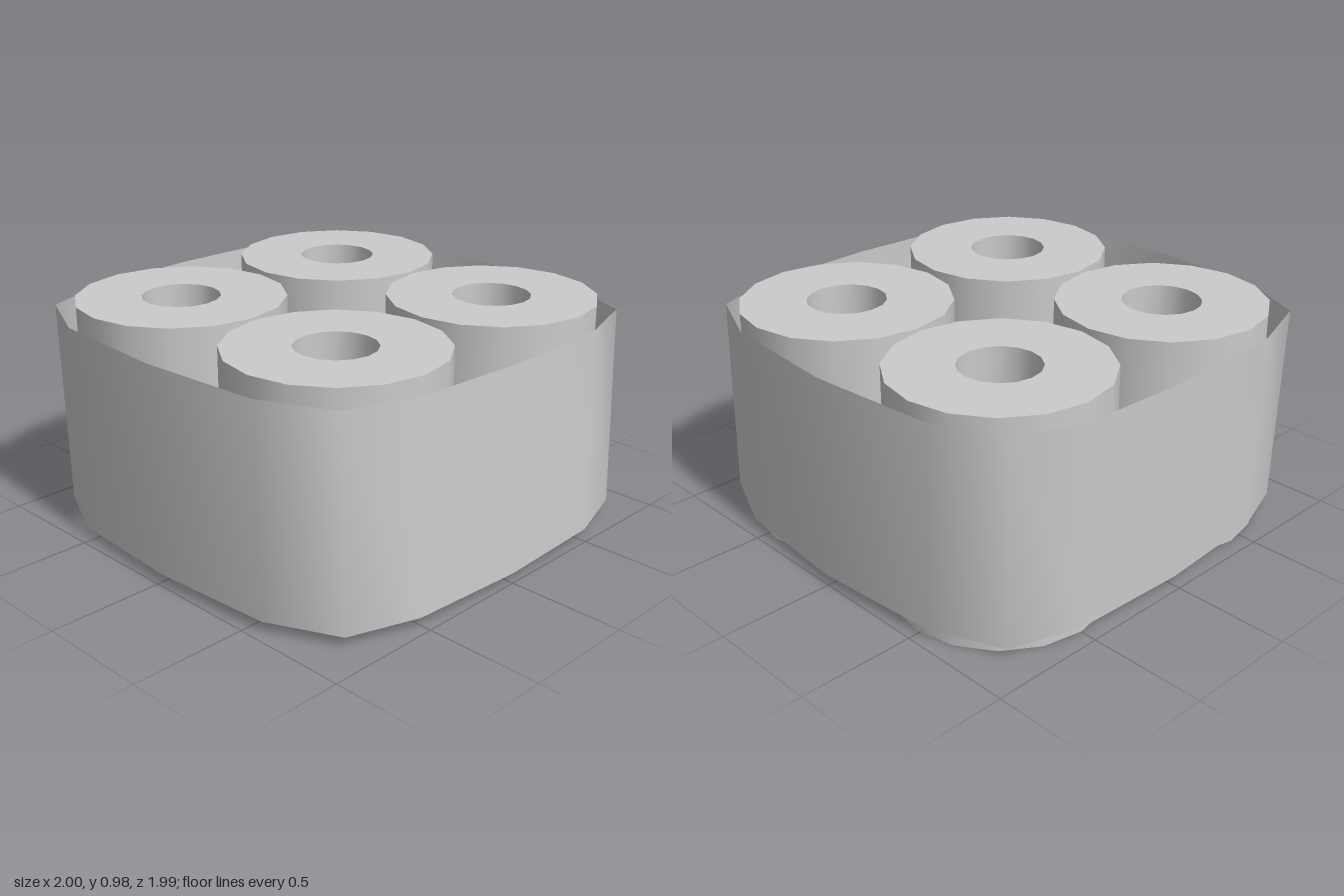
import * as THREE from 'three';

const material = new THREE.MeshStandardMaterial({ color: 0xcccccc });
const thinMaterial = new THREE.MeshStandardMaterial({ color: 0xcccccc, side: THREE.DoubleSide });

const SIDES = 16, R = 0.449, CORE = 0.168, H = 0.975;

// Each profile is a separate lathe so the rims between them stay sharp
function lathe(name, profile) {
  const points = profile.map(([r, y]) => new THREE.Vector2(r, y));
  const mesh = new THREE.Mesh(new THREE.LatheGeometry(points, SIDES), material);
  mesh.name = name;
  return mesh;
}

function createRoll(x, z) {
  const roll = new THREE.Group();
  roll.name = 'paperRoll';
  roll.add(
    lathe('rollSide', [[R, 0], [R, H]]),
    lathe('rollTop', [[R, H], [CORE, H]]),
    // core tube flaring into a hollowed underside
    lathe('rollCore', [[CORE, H], [CORE, 0.3], [0.2, 0.18], [0.29, 0.08], [0.39, 0.015], [R, 0]])
  );
  roll.position.set(x, 0, z);
  return roll;
}

// Thin band around the four rolls, leaning slightly to one side
function createWrapper() {
  const half = [[0, -1], [0.56, -0.955], [0.868, -0.825], [0.966, -0.52], [0.987, 0],
    [0.953, 0.515], [0.848, 0.815], [0.55, 0.953], [0, 0.99]];
  const ring = [...half, ...half.slice(1, -1).reverse().map(([x, z]) => [-x, z])];
  const positions = [], indices = [];
  ring.forEach(([x, z], i) => {
    positions.push(x + 0.013, 0.045, z, x - 0.013, 0.929 - 0.003 * x, z);
    const b = 2 * i, n = 2 * ((i + 1) % ring.length);
    indices.push(b, b + 1, n + 1, b, n + 1, n);
  });
  const geometry = new THREE.BufferGeometry();
  geometry.setAttribute('position', new THREE.Float32BufferAttribute(positions, 3));
  geometry.setIndex(indices);
  geometry.computeVertexNormals();
  const mesh = new THREE.Mesh(geometry, thinMaterial);
  mesh.name = 'wrapper';
  return mesh;
}

export function createModel() {
  const model = new THREE.Group();
  model.name = 'paperRollPack';
  for (const x of [-0.477, 0.444])
    for (const z of [-0.496, 0.44]) model.add(createRoll(x, z));
  model.add(createWrapper());
  return model;
}
